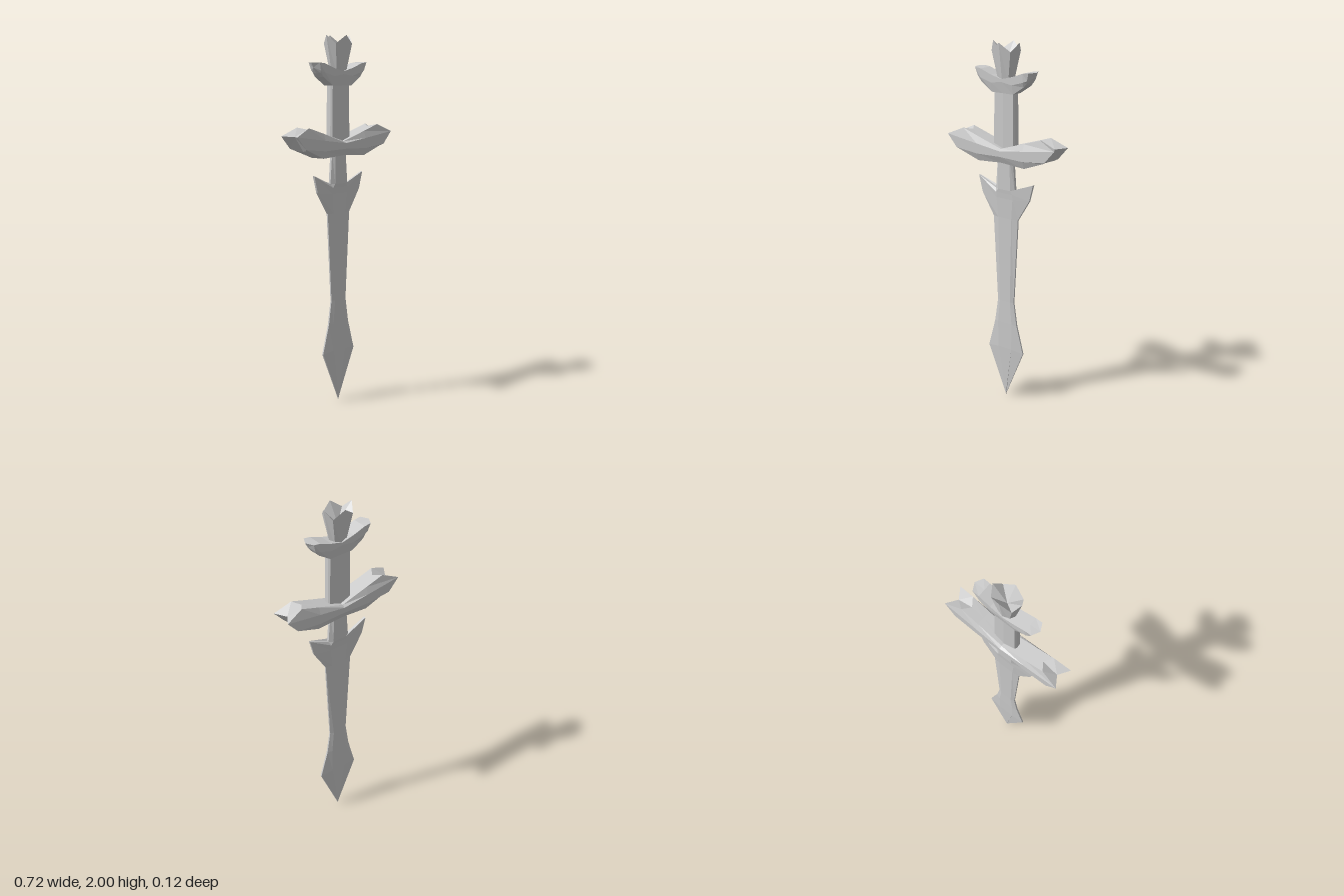
import * as THREE from 'three';

const material = new THREE.MeshStandardMaterial({ color: 0xcccccc, flatShading: true });

// Closed solid skinned over rings of equal length, with a fan to an apex at each end
function loft(name, rings, startApex, endApex) {
  const pos = [];
  const tri = (a, b, c) => pos.push(...a, ...b, ...c);
  const n = rings[0].length;
  const last = rings[rings.length - 1];
  for (let j = 0; j < n; j++) {
    const k = (j + 1) % n;
    for (let i = 0; i + 1 < rings.length; i++) {
      const a = rings[i], b = rings[i + 1];
      tri(a[j], a[k], b[k]);
      tri(a[j], b[k], b[j]);
    }
    tri(startApex, rings[0][k], rings[0][j]);
    tri(endApex, last[j], last[k]);
  }
  // Turn the faces outward if the enclosed volume is negative
  let volume = 0;
  const a = new THREE.Vector3(), b = new THREE.Vector3(), c = new THREE.Vector3();
  for (let i = 0; i < pos.length; i += 9) {
    a.fromArray(pos, i); b.fromArray(pos, i + 3); c.fromArray(pos, i + 6);
    volume += a.dot(b.cross(c));
  }
  if (volume < 0) {
    for (let i = 0; i < pos.length; i += 9) {
      for (let d = 0; d < 3; d++) [pos[i + 3 + d], pos[i + 6 + d]] = [pos[i + 6 + d], pos[i + 3 + d]];
    }
  }
  const geometry = new THREE.BufferGeometry();
  geometry.setAttribute('position', new THREE.Float32BufferAttribute(pos, 3));
  geometry.computeVertexNormals();
  const mesh = new THREE.Mesh(geometry, material);
  mesh.name = name;
  return mesh;
}

// Crossbar: stations from the middle out to +x, each a half ring (z >= 0) from top to bottom
function crossbar(name, stations, endApex) {
  const full = stations.map(half => [
    ...half,
    ...half.slice(1, -1).reverse().map(([x, y, z]) => [x, y, -z]),
  ]);
  const flip = p => [-p[0], p[1], p[2]];
  const left = full.slice(1).reverse().map(ring => ring.map(flip));
  return loft(name, [...left, ...full], flip(endApex), endApex);
}

export function createModel() {
  const group = new THREE.Group();

  // Blade: edge x, edge y, ridge x, ridge y, ridge half thickness
  const bladeStations = [
    [0.003, 0.012, 0.002, 0.014, 0.004],
    [0.12, 0.28, 0.045, 0.29, 0.012],
    [0.075, 0.44, 0.048, 0.44, 0.013],
    [0.055, 0.57, 0.035, 0.57, 0.012],
    [0.083, 1.05, 0.045, 1.05, 0.013],
    [0.16, 1.17, 0.055, 1.16, 0.016],
    [0.185, 1.262, 0.055, 1.19, 0.018],
    [0.065, 1.21, 0.042, 1.21, 0.02],
    [0.052, 1.38, 0.038, 1.38, 0.02],
  ];
  const bladeRings = bladeStations.map(([ex, ey, rx, ry, t]) => {
    const e = t * 0.35;
    return [
      [ex, ey, e], [rx, ry, t], [-rx, ry, t], [-ex, ey, e],
      [-ex, ey, -e], [-rx, ry, -t], [rx, ry, -t], [ex, ey, -e],
    ];
  });
  group.add(loft('blade', bladeRings, [0, 0, 0], [0, 1.38, 0]));

  // Guard with swept arms and notched ends
  const guardRow = (x, top, upper, lower, bottom) => [
    [x, top, 0], [x, top, 0.045], [x, upper, 0.061],
    [x, lower, 0.061], [x, bottom, 0.045], [x, bottom, 0],
  ];
  group.add(crossbar('guard', [
    guardRow(0, 1.44, 1.43, 1.4, 1.365),
    guardRow(0.155, 1.487, 1.45, 1.395, 1.355),
    [[0.23, 1.51, 0], [0.262, 1.52, 0.045], [0.36, 1.478, 0.061],
      [0.298, 1.41, 0.061], [0.285, 1.402, 0.045], [0.26, 1.395, 0]],
  ], [0.32, 1.475, 0]));

  // Grip, a flat bar with narrow chamfered sides
  const gripRing = (y, s) => {
    const quarter = [[0.07 * s, 0.011], [0.064 * s, 0.022], [0, 0.028]];
    const front = [...quarter, ...quarter.slice(0, 2).reverse().map(([x, z]) => [-x, z])];
    return [...front, ...front.map(([x, z]) => [-x, -z])].map(([x, z]) => [x, y, z]);
  };
  group.add(loft('grip', [gripRing(1.38, 1.03), gripRing(1.78, 0.97)], [0, 1.38, 0], [0, 1.78, 0]));

  // Upper collar with small raised wings
  const collarRow = (x, top, middle, bottom) => [
    [x, top, 0], [x, top, 0.042], [x, middle, 0.042], [x, bottom, 0.032], [x, bottom, 0],
  ];
  group.add(crossbar('collar', [
    collarRow(0, 1.81, 1.795, 1.735),
    collarRow(0.07, 1.827, 1.785, 1.735),
    collarRow(0.14, 1.852, 1.805, 1.78),
    [[0.2, 1.857, 0], [0.178, 1.857, 0.042], [0.165, 1.815, 0.036],
      [0.16, 1.802, 0.028], [0.163, 1.8, 0]],
  ], [0.185, 1.83, 0]));

  // Crown pommel: four peaks around a hollow
  const base = [], rim = [];
  for (let i = 0; i < 8; i++) {
    const angle = i * Math.PI / 4, valley = i % 2;
    const c = Math.cos(angle), s = Math.sin(angle);
    base.push([0.046 * c, 1.79, 0.034 * s]);
    rim.push([0.088 * c, valley ? 1.955 : 2, 0.062 * s]);
  }
  group.add(loft('crownPommel', [base, rim], [0, 1.79, 0], [0, 1.9, 0]));

  return group;
}
